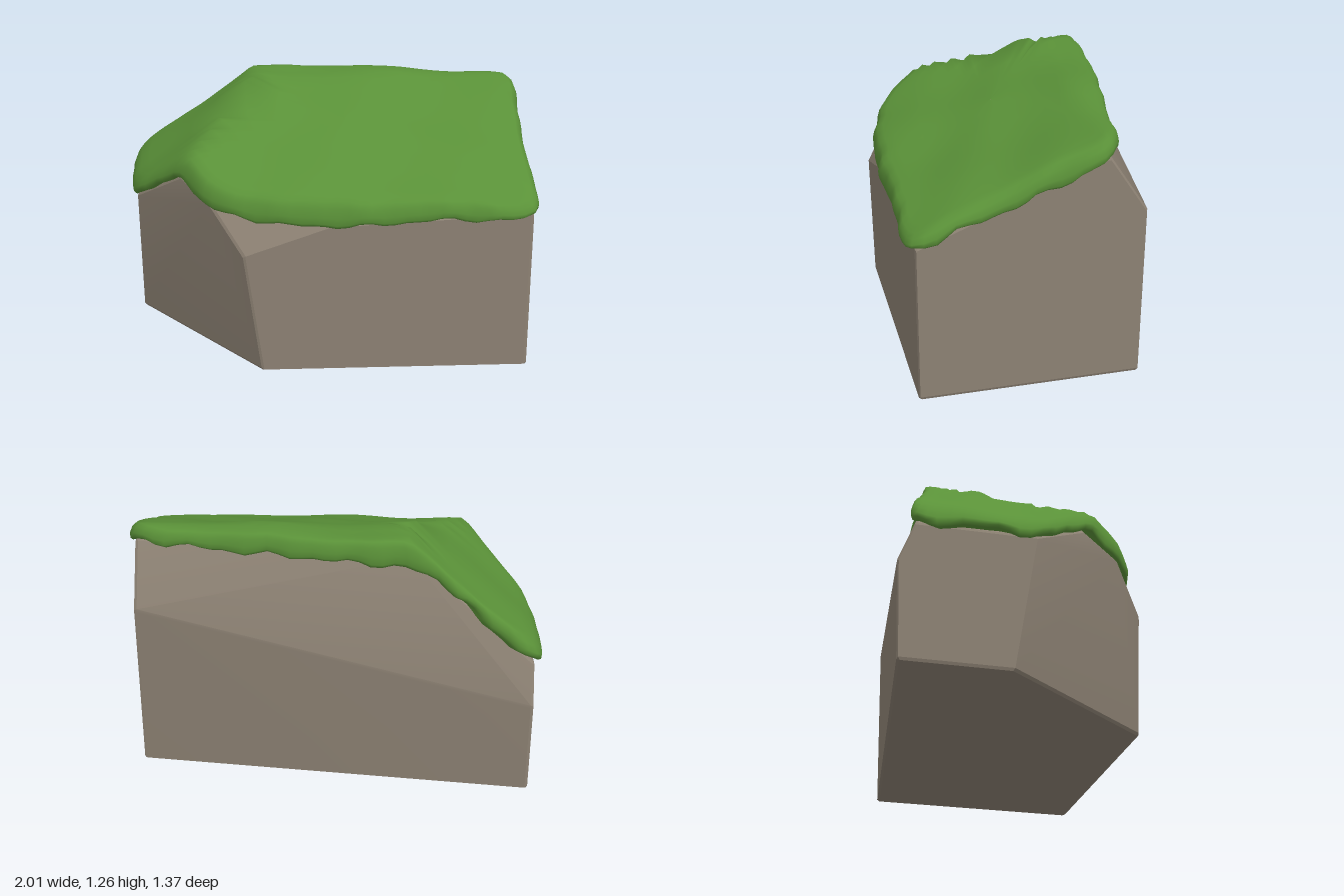
import * as THREE from 'three';
import { toCreasedNormals } from 'three/addons/utils/BufferGeometryUtils.js';
import { ConvexGeometry } from 'three/addons/geometries/ConvexGeometry.js';

const stone = new THREE.MeshStandardMaterial({ color: 0x8c8173 });
stone.name = 'stone';
const moss = new THREE.MeshStandardMaterial({ color: 0x5a9138, side: THREE.DoubleSide });
moss.name = 'grass green';

// Faceted boulder: hull of its corners, each replaced by a tiny ball to soften the edges
function makeRock() {
  const corners = [
    [0.97, 0, 0.65], [-0.34, 0, 0.65], [-0.96, 0, -0.16], [-0.96, 0, -0.665], [0.97, 0, -0.43],
    [-0.42, 0.62, 0.65], [0, 0.76, 0.65], [0.97, 0.81, 0.65], [-0.58, 0.83, 0.49],
    [-0.72, 0.89, 0.28], [-0.96, 0.69, -0.05], [-0.96, 0.69, -0.6], [-0.96, 0.5, -0.675],
    [0.97, 0.88, -0.44], [0.97, 1.16, -0.26], [-0.38, 1.17, -0.44],
  ];
  const r = 0.016, centre = new THREE.Vector3(0, 0.5, 0), points = [];
  const ball = new THREE.IcosahedronGeometry(r, 0).getAttribute('position');
  for (const c of corners) {
    const p = new THREE.Vector3(...c);
    p.x -= Math.sign(p.x) * r;
    p.z -= Math.sign(p.z) * r;
    p.y += p.y < centre.y ? r : -r;
    const seen = new Set();
    for (let i = 0; i < ball.count; i++) {
      const q = new THREE.Vector3().fromBufferAttribute(ball, i);
      const key = q.toArray().map((v) => v.toFixed(4)).join();
      if (!seen.has(key)) points.push(q.add(p));
      seen.add(key);
    }
  }
  return toCreasedNormals(new ConvexGeometry(points), 0.3);
}

// Height of the grass: front slope, flat ridge and left slope, with gentle lumps
function grassHeight(x, z) {
  const lumps = 0.007 * Math.sin(9 * x + 4 * z) + 0.006 * Math.sin(13 * z - 6 * x + 1);
  return Math.min(1.245, 0.9 + 0.41 * (0.6 - z), 0.75 + 0.77 * (x + 1)) + lumps;
}

// Grass blanket: rings spreading from the middle, curling over into an uneven hem
function makeGrass() {
  // outline as x, hem height, z
  const outline = [
    [0.97, 0.8, 0.66], [0.5, 0.785, 0.67], [0.1, 0.76, 0.67], [-0.3, 0.77, 0.625], [-0.58, 0.81, 0.51],
    [-0.73, 0.88, 0.3], [-0.83, 0.82, 0.17], [-0.97, 0.69, -0.02], [-0.995, 0.69, -0.3],
    [-0.98, 0.68, -0.59], [-0.8, 0.82, -0.585], [-0.45, 1.08, -0.475], [0, 1.14, -0.45],
    [0.55, 1.15, -0.36], [0.975, 1.155, -0.26], [0.99, 1.04, 0], [0.985, 0.96, 0.2], [0.99, 0.88, 0.45],
  ].map((p) => new THREE.Vector3(...p));
  const n = 108;
  const edge = new THREE.CatmullRomCurve3(outline, true).getSpacedPoints(n).slice(0, n);
  const cx = 0.1, cz = 0.1;
  // each ring: spread, and blend from hem (0) to top surface (1)
  const rings = [[0.001, 1], [0.15, 1], [0.3, 1], [0.45, 1], [0.6, 1], [0.72, 1], [0.83, 1], [0.91, 1],
    [0.96, 0.95], [0.985, 0.75], [1, 0.4], [0.998, 0.12], [0.985, 0], [0.93, 0.1]];
  const position = [], index = [];
  rings.forEach(([s, blend], k) => edge.forEach((e, i) => {
    const a = (i / n) * Math.PI * 2;
    const wave = s * 0.008 * (Math.sin(17 * a) + Math.sin(29 * a + 2));
    const x = cx + (e.x - cx) * s, z = cz + (e.z - cz) * s + wave * 0.5;
    position.push(x, THREE.MathUtils.lerp(e.y + wave, grassHeight(x, z), blend), z);
    if (k === 0) return;
    const j = (i + 1) % n, p = (k - 1) * n, q = k * n;
    index.push(p + i, q + j, q + i, p + i, p + j, q + j);
  }));
  const g = new THREE.BufferGeometry();
  g.setAttribute('position', new THREE.Float32BufferAttribute(position, 3));
  g.setIndex(index);
  g.computeVertexNormals();
  return g;
}

export function createModel() {
  const model = new THREE.Group();
  model.name = 'grassyRock';
  const rock = new THREE.Mesh(makeRock(), stone);
  rock.name = 'rock';
  const grass = new THREE.Mesh(makeGrass(), moss);
  grass.name = 'grassTop';
  model.add(rock, grass);
  return model;
}
